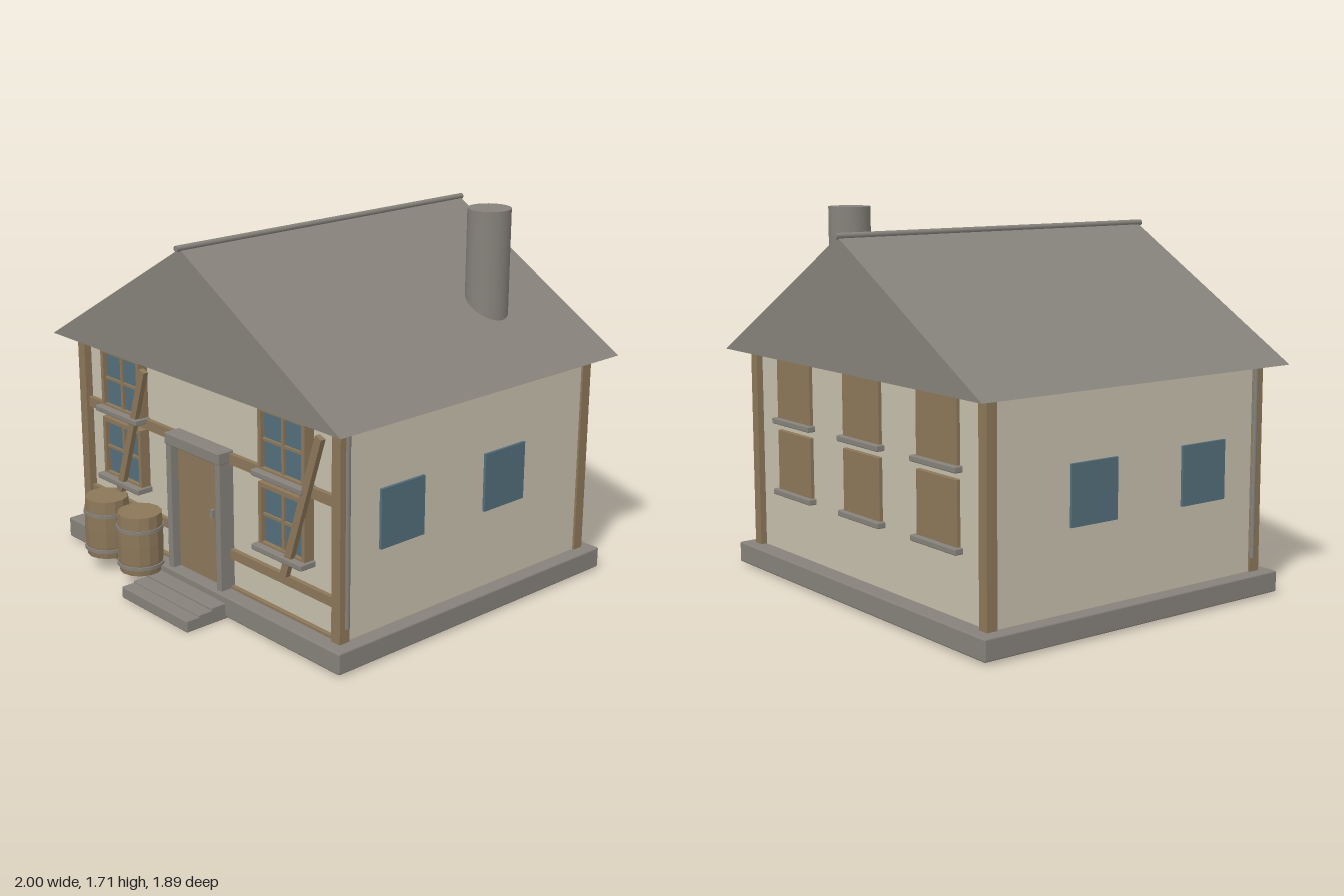
import * as THREE from 'three';
import { RoundedBoxGeometry } from 'three/addons/geometries/RoundedBoxGeometry.js';

export function createModel() {
  const house = new THREE.Group();
  house.name = 'cottage';

  const material = (name, color) => {
    const m = new THREE.MeshStandardMaterial({ color });
    m.name = name;
    return m;
  };
  const plaster = material('plaster', 0xc6bfad);
  const stone = material('grey stone', 0x86827b);
  const wood = material('wood', 0x8c7759);
  const glass = material('window glass', 0x536e7a);

  const add = (name, geometry, mat, x = 0, y = 0, z = 0, parent = house) => {
    const mesh = new THREE.Mesh(geometry, mat);
    mesh.name = name;
    mesh.position.set(x, y, z);
    parent.add(mesh);
    return mesh;
  };
  // Box given by its minimum and maximum on each axis
  const box = (name, mat, x0, x1, y0, y1, z0, z1, bevel = 0, parent = house) => {
    const size = [x1 - x0, y1 - y0, z1 - z0];
    const geometry = bevel
      ? new RoundedBoxGeometry(...size, 1, bevel)
      : new THREE.BoxGeometry(...size);
    return add(name, geometry, mat, (x0 + x1) / 2, (y0 + y1) / 2, (z0 + z1) / 2, parent);
  };

  // Foundation, walls and entrance steps
  box('foundation', stone, -0.975, 0.975, 0.01, 0.107, -0.905, 0.735, 0.008);
  box('walls', plaster, -0.905, 0.905, 0.1, 1.045, -0.82, 0.64);
  box('lowerStep', stone, -0.24, 0.24, 0, 0.055, 0.7, 0.945, 0.006);
  box('middleStep', stone, -0.24, 0.24, 0.01, 0.064, 0.7, 0.88, 0.006);
  box('upperStep', stone, -0.24, 0.24, 0.01, 0.075, 0.7, 0.81, 0.006);

  // Solid gable roof, ridge pole and chimney
  const gable = new THREE.Shape([
    new THREE.Vector2(-1, 1.04),
    new THREE.Vector2(1, 1.04),
    new THREE.Vector2(0, 1.615),
  ]);
  add('roof', new THREE.ExtrudeGeometry(gable, { depth: 1.69, bevelEnabled: false }), stone, 0, 0, -0.935);
  add('ridgePole', new THREE.CylinderGeometry(0.014, 0.014, 1.72, 10), stone, 0, 1.618, -0.086).rotation.x = Math.PI / 2;
  add('chimney', new THREE.CylinderGeometry(0.097, 0.097, 0.6, 32), stone, 0.59, 1.41, -0.5);

  // Corner posts, with downpipes beside the front ones
  for (const side of [-1, 1]) {
    const sx = side * 0.89;
    box('frontPost', wood, sx - 0.026, sx + 0.026, 0.1, 1.045, 0.622, 0.677);
    box('backPost', wood, sx - 0.026, sx + 0.026, 0.1, 1.045, -0.85, -0.798);
    add('downpipe', new THREE.CylinderGeometry(0.014, 0.014, 0.87, 10), stone, side * 0.911, 0.605, 0.635);
  }

  // Horizontal beams on the front wall
  for (const [y0, y1] of [[0.103, 0.118], [0.25, 0.293], [0.69, 0.738], [1.013, 1.043]]) {
    box('frontBeam', wood, -0.866, 0.866, y0, y1, 0.63, 0.662);
  }

  // Front windows: frame with cross bars, glass and stone sill
  const frontWindow = (x, y0) => {
    const g = new THREE.Group();
    g.name = 'frontWindow';
    g.position.set(x, y0, 0);
    house.add(g);
    const w = 0.148, h = 0.288, f = 0.02;
    box('glass', glass, -w + f, w - f, f, h - f, 0.635, 0.669, 0, g);
    for (const s of [-1, 1]) {
      const c = s * (w - f / 2);
      box('frameSide', wood, c - f / 2, c + f / 2, 0, h, 0.63, 0.69, 0, g);
    }
    box('frameBottom', wood, -w, w, 0, f, 0.63, 0.69, 0, g);
    box('frameTop', wood, -w, w, h - f, h, 0.63, 0.69, 0, g);
    box('uprightBar', wood, -0.008, 0.008, f, h - f, 0.66, 0.68, 0, g);
    box('crossBar', wood, -w + f, w - f, h / 2 - 0.006, h / 2 + 0.006, 0.66, 0.68, 0, g);
    box('sill', stone, -0.16, 0.16, -0.016, 0.012, 0.63, 0.722, 0.006, g);
  };
  for (const x of [-0.567, 0.567]) for (const y of [0.397, 0.732]) frontWindow(x, y);

  // Boarded back windows
  for (const x of [-0.56, 0, 0.56]) {
    for (const y of [0.397, 0.732]) {
      box('backShutter', wood, x - 0.142, x + 0.142, y, y + 0.288, -0.838, -0.81, 0.004);
      box('backSill', stone, x - 0.16, x + 0.16, y - 0.018, y + 0.01, -0.86, -0.81, 0.006);
    }
  }

  // Side windows
  for (const side of [-1, 1]) {
    for (const z of [0.325, -0.295]) {
      add('sideWindow', new THREE.BoxGeometry(0.03, 0.265, 0.25), glass, side * 0.903, 0.598, z);
    }
  }

  // Leaning planks across the front windows
  for (const x of [-0.475, 0.71]) {
    const plank = add('leaningPlank', new THREE.BoxGeometry(0.038, 0.7, 0.025), wood, x, 0.655, 0.699);
    plank.rotation.z = -Math.atan2(0.222, 0.667);
  }

  // Door with its stone surround
  box('door', wood, -0.16, 0.16, 0.105, 0.7, 0.62, 0.672);
  box('doorPanel', wood, -0.148, 0.148, 0.117, 0.688, 0.67, 0.68);
  for (const s of [-1, 1]) {
    box('doorJamb', stone, s * 0.174 - 0.017, s * 0.174 + 0.017, 0.1, 0.72, 0.63, 0.717, 0.006);
  }
  box('doorLintel', stone, -0.194, 0.194, 0.695, 0.75, 0.63, 0.722, 0.006);
  box('doorHandle', stone, 0.095, 0.111, 0.42, 0.46, 0.675, 0.695);

  // Barrels with two hoops each
  const profile = [[0, 0.075], [0.097, 0.075], [0.104, 0.13], [0.106, 0.215], [0.104, 0.3], [0.1, 0.355], [0, 0.355]]
    .map(([r, y]) => new THREE.Vector2(r, y));
  for (const x of [-0.57, -0.31]) {
    const barrel = new THREE.Group();
    barrel.name = 'barrel';
    barrel.position.set(x, 0, 0.785);
    house.add(barrel);
    const body = new THREE.LatheGeometry(profile, 14).toNonIndexed();
    body.computeVertexNormals();
    add('barrelBody', body, wood, 0, 0, 0, barrel);
    for (const y of [0.112, 0.287]) {
      add('barrelHoop', new THREE.CylinderGeometry(0.109, 0.109, 0.016, 14), stone, 0, y, 0, barrel);
    }
  }

  return house;
}
